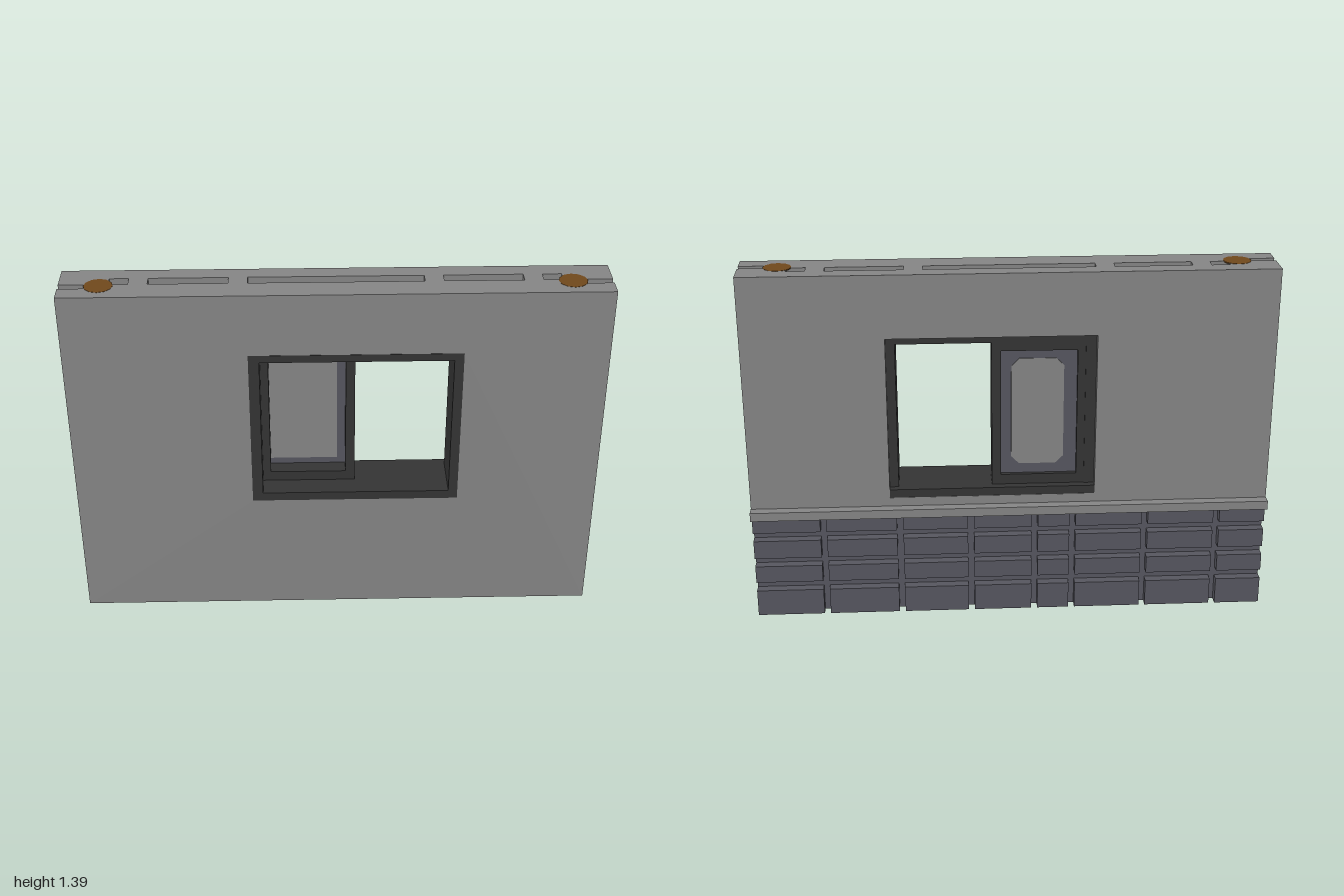
import * as THREE from 'three';

const mat = (name, color, extra = {}) => new THREE.MeshStandardMaterial({ name, color, ...extra });

export function createModel() {
  const grey = mat('wall grey', 0x858585);
  const slate = mat('stone slate', 0x56565f);
  const dark = mat('frame charcoal', 0x343434);
  const brown = mat('timber brown', 0x70481c);
  const model = new THREE.Group();
  model.name = 'wallSection';

  const add = (name, geometry, material, parent = model) => {
    const mesh = new THREE.Mesh(geometry, material);
    mesh.name = name;
    parent.add(mesh);
    return mesh;
  };
  // Box given by its limits on each axis
  const box = (name, material, x0, x1, y0, y1, z0, z1, parent) => {
    const m = add(name, new THREE.BoxGeometry(x1 - x0, y1 - y0, z1 - z0), material, parent);
    m.position.set((x0 + x1) / 2, (y0 + y1) / 2, (z0 + z1) / 2);
    return m;
  };
  const poly = pts => pts.map(p => new THREE.Vector2(p[0], p[1]));
  const rect = (x0, x1, y0, y1) => [[x0, y0], [x1, y0], [x1, y1], [x0, y1]];
  // Upright plate with an outline and an optional rectangular hole
  const plate = (name, material, outline, hole, z0, z1, parent) => {
    const shape = new THREE.Shape(poly(outline));
    if (hole) shape.holes.push(new THREE.Path(poly(hole)));
    const g = new THREE.ExtrudeGeometry(shape, { depth: z1 - z0, bevelEnabled: false });
    g.translate(0, 0, z0);
    return add(name, g, material, parent);
  };

  const H = 1.39;
  const opening = rect(-0.325, 0.465, 0.5, 1.145);

  // Wall layers
  plate('frontPanel', grey, rect(-1, 1, 0, H), opening, 0.055, 0.125);
  plate('wallCore', grey, rect(-0.89, 0.89, 0, H), opening, 0.025, 0.055);
  plate('backPanel', grey, rect(-1, 1, 0.43, H), opening, -0.087, -0.02);

  // Inner layer, notched by slots along the top and bottom edges
  const slots = [[-0.82, -0.75], [-0.68, -0.39], [-0.32, 0.32], [0.39, 0.68], [0.75, 0.82]];
  const outline = [[-1, 0]];
  for (const [a, b] of [[-0.78, -0.07], [0.07, 0.78]]) outline.push([a, 0], [a, 0.06], [b, 0.06], [b, 0]);
  outline.push([1, 0], [1, H]);
  for (const [a, b] of [...slots].reverse()) outline.push([b, H], [b, H - 0.06], [a, H - 0.06], [a, H]);
  outline.push([-1, H]);
  plate('innerPanel', grey, outline, opening, -0.02, 0.025);

  // Timber connectors in the end channels
  for (const s of [-1, 1]) {
    for (const y of [0.11, 0.5, 0.895, 1.325]) {
      const a = s * 0.89, b = s * 1.001;
      box('endConnector', brown, Math.min(a, b), Math.max(a, b), y - 0.037, y + 0.037, -0.018, 0.09);
    }
  }
  // Timber ends on the top and bottom edges
  const timberEnd = (x, y) => {
    const m = add('timberEnd', new THREE.CylinderGeometry(0.053, 0.053, 0.004, 12), brown);
    m.position.set(x, y, 0.035);
  };
  [-0.855, 0.855].forEach(x => timberEnd(x, H - 0.001));
  [-0.855, 0, 0.855].forEach(x => timberEnd(x, 0.0015));

  // Stone cladding on the lower back
  const stones = new THREE.Group();
  stones.name = 'stoneCladding';
  model.add(stones);
  box('mortar', slate, -1, 1, 0, 0.43, -0.05, -0.02, stones);
  const joints = [-1.012, -0.81, -0.527, -0.243, -0.095, 0.154, 0.43, 0.727, 1.012];
  const rows = [[0, 0.108], [0.145, 0.215], [0.25, 0.325], [0.36, 0.432]];
  for (const [y0, y1] of rows) {
    for (let i = 0; i < joints.length - 1; i++) {
      box('stone', slate, joints[i] + 0.012, joints[i + 1] - 0.012, y0, y1, -0.087, -0.05, stones);
    }
  }

  // Ledge above the stones: profile in (-z, y), swept along x
  const ledge = new THREE.ExtrudeGeometry(
    new THREE.Shape(poly([[0.02, 0.43], [0.09, 0.43], [0.125, 0.43], [0.125, 0.465], [0.085, 0.465], [0.02, 0.465]])),
    { depth: 2.002, bevelEnabled: false });
  ledge.rotateY(Math.PI / 2);
  ledge.translate(-1.001, 0, 0);
  add('ledge', ledge, grey);

  // Window: outer frame, sill and fixed sash
  const win = new THREE.Group();
  win.name = 'window';
  model.add(win);
  plate('windowFrame', dark, rect(-0.325, 0.465, 0.5, 1.145), rect(-0.285, 0.43, 0.535, 1.115), -0.062, 0.126, win);
  box('windowSill', dark, -0.325, 0.465, 0.502, 0.535, -0.09, 0.1262, win);
  plate('sash', dark, rect(-0.29, 0.07, 0.53, 1.12), rect(-0.255, 0.035, 0.575, 1.08), -0.058, 0.04, win);
  box('glassEdge', slate, -0.256, 0.036, 0.574, 1.081, -0.042, -0.02, win);
  box('glassFront', grey, -0.255, 0.003, 0.602, 1.08, -0.02, -0.017, win);
  const c = 0.03, x0 = -0.205, x1 = -0.005, y0 = 0.615, y1 = 1.045;
  plate('glassBack', grey, [[x0 + c, y0], [x1 - c, y0], [x1, y0 + c], [x1, y1 - c],
    [x1 - c, y1], [x0 + c, y1], [x0, y1 - c], [x0, y0 + c]], null, -0.045, -0.042, win);

  return model;
}
